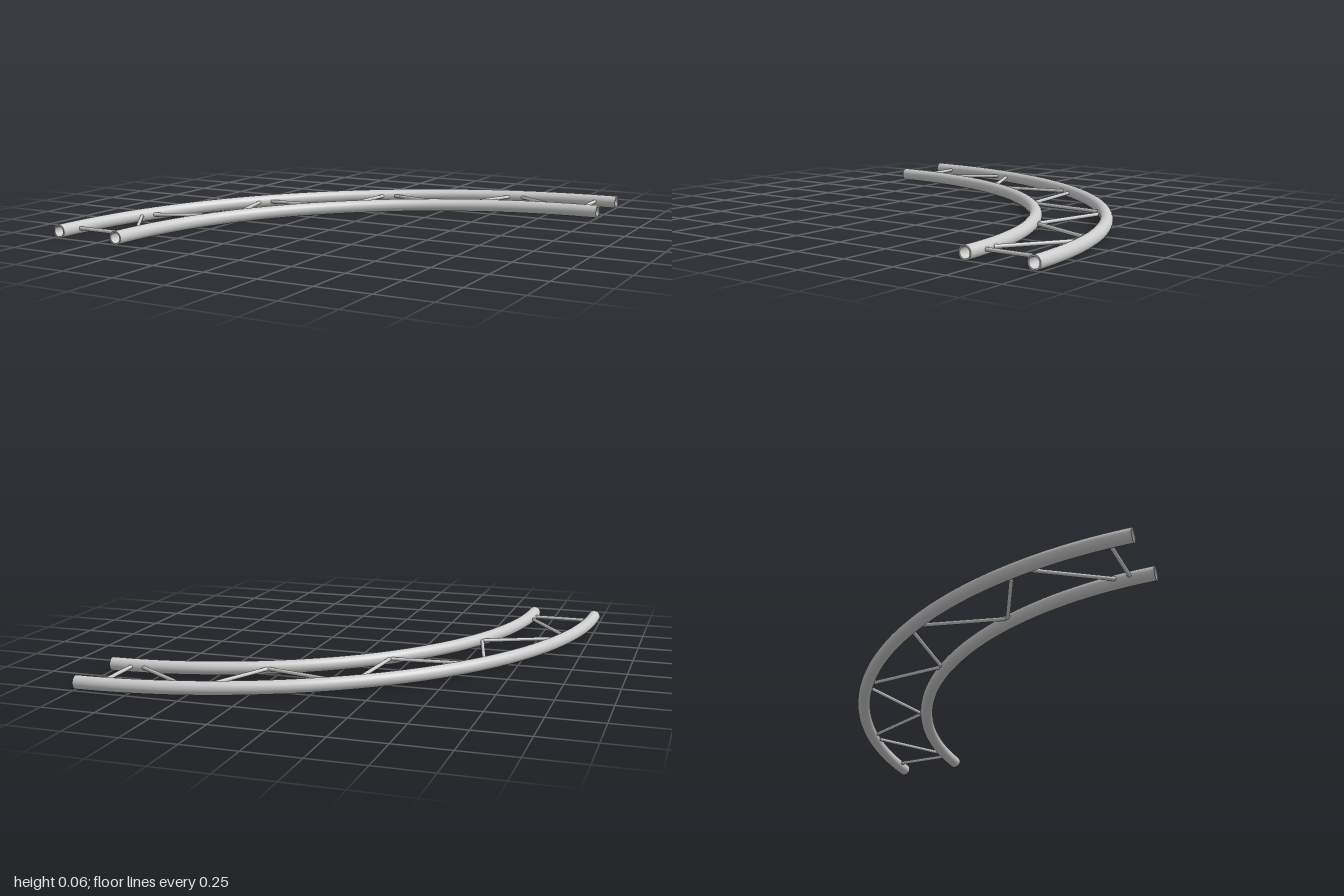
import * as THREE from 'three';

const TUBE = 0.031, BORE = 0.024, BRACE = 0.009, Y = 0.031;
const OUTER = 1.969, INNER = 1.649;

// Point on an arc about (1, 1): 0 degrees at the front end, 90 at the +x end
function polar(radius, degrees) {
  const a = THREE.MathUtils.degToRad(degrees);
  return new THREE.Vector3(1 - radius * Math.cos(a), Y, 1 - radius * Math.sin(a));
}

export function createModel() {
  const model = new THREE.Group();
  model.name = 'curvedTruss';
  const material = new THREE.MeshStandardMaterial({ color: 0xcccccc });
  const boreMaterial = new THREE.MeshStandardMaterial({ color: 0xcccccc, side: THREE.BackSide });

  const add = (parent, name, geometry, mat = material) => {
    const mesh = new THREE.Mesh(geometry, mat);
    mesh.name = name;
    parent.add(mesh);
    return mesh;
  };

  // Quarter-circle hollow chord with annular ends
  const addChord = (name, radius) => {
    const chord = new THREE.Group();
    chord.name = name;
    const arc = (r) => new THREE.TorusGeometry(radius, r, 32, 80, Math.PI / 2)
      .rotateX(Math.PI / 2).rotateY(Math.PI).translate(1, Y, 1);
    add(chord, 'tubeWall', arc(TUBE));
    add(chord, 'tubeBore', arc(BORE), boreMaterial);
    const rim = () => new THREE.RingGeometry(BORE, TUBE, 32);
    add(chord, 'frontRim', rim().translate(1 - radius, Y, 1));
    add(chord, 'sideRim', rim().rotateY(Math.PI / 2).translate(1, Y, 1 - radius));
    model.add(chord);
  };
  addChord('outerChord', OUTER);
  addChord('innerChord', INNER);

  // Thin round bar between two points
  const addBar = (name, a, b) => {
    const dir = b.clone().sub(a);
    const bar = add(model, name, new THREE.CylinderGeometry(BRACE, BRACE, dir.length(), 16));
    bar.position.copy(a).add(b).multiplyScalar(0.5);
    bar.quaternion.setFromUnitVectors(new THREE.Vector3(0, 1, 0), dir.normalize());
  };

  // Zigzag bracing: [angle at inner chord, angle at outer chord], mirrored about 45 degrees
  const braces = [[5.7, 14.3], [24.9, 16.4], [25.2, 34.1], [44.8, 36.1]];
  const rIn = INNER + TUBE - 0.004, rOut = OUTER - TUBE + 0.004;
  for (const [i, o] of braces) {
    addBar('diagonalBrace', polar(rIn, i), polar(rOut, o));
    addBar('diagonalBrace', polar(rIn, 90 - i), polar(rOut, 90 - o));
  }

  // Straight struts near both ends
  const s = 0.895, near = 1 - INNER - TUBE + 0.006, far = 1 - OUTER + TUBE - 0.01;
  addBar('endStrut', new THREE.Vector3(near, Y, s), new THREE.Vector3(far, Y, s));
  addBar('endStrut', new THREE.Vector3(s, Y, near), new THREE.Vector3(s, Y, far));

  return model;
}
